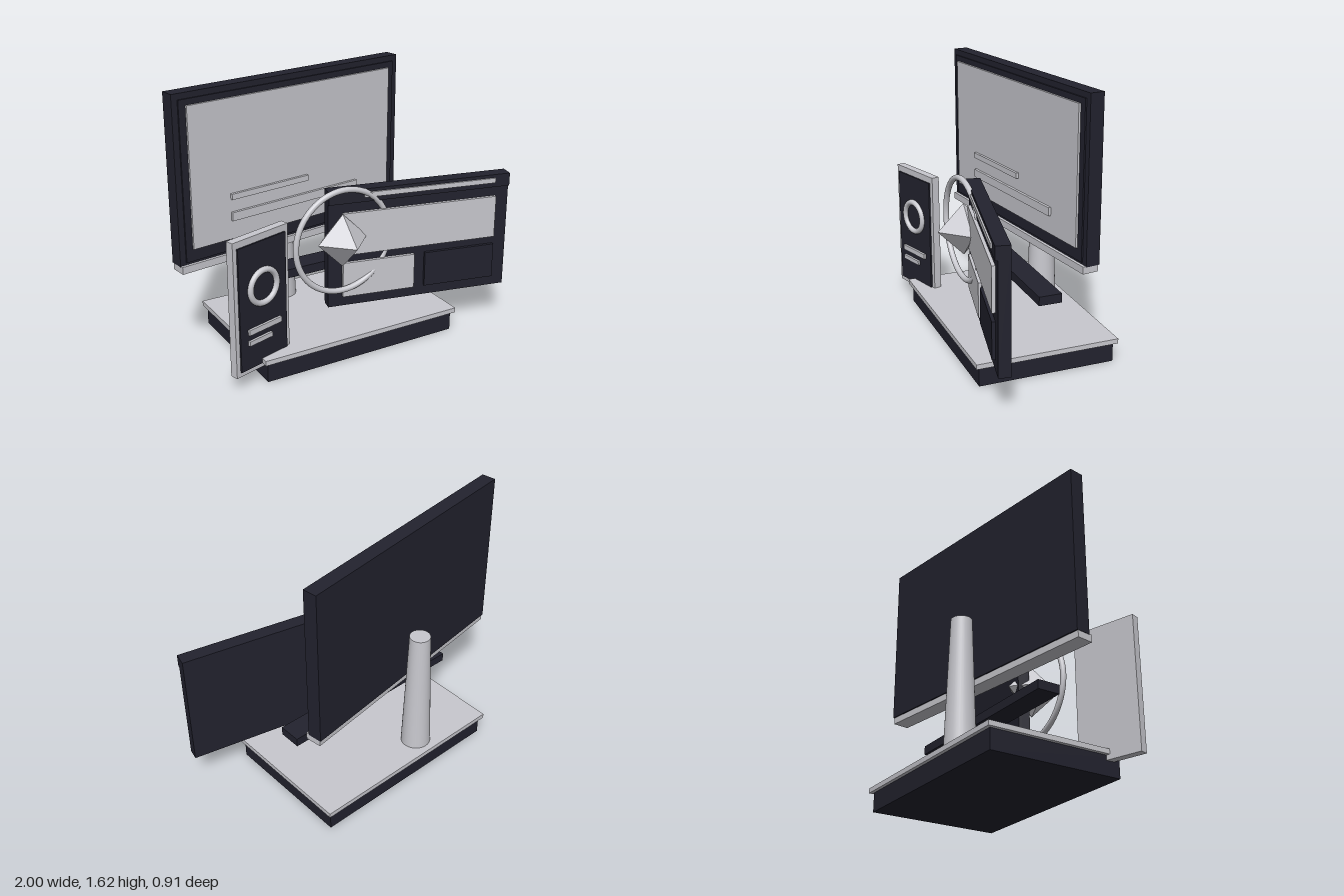
import * as THREE from 'three';

export function createModel() {
  const model = new THREE.Group();
  model.name = 'deskDisplay';

  const silver = new THREE.MeshStandardMaterial({ color: 0xc8c8ce });
  silver.name = 'silver';
  const dark = new THREE.MeshStandardMaterial({ color: 0x22222e });
  dark.name = 'dark navy';

  const add = (parent, name, geometry, material, x, y, z) => {
    const mesh = new THREE.Mesh(geometry, material);
    mesh.name = name;
    mesh.position.set(x, y, z);
    parent.add(mesh);
    return mesh;
  };
  // Box given by its centre
  const box = (parent, name, material, w, h, d, x, y, z) =>
    add(parent, name, new THREE.BoxGeometry(w, h, d), material, x, y, z);
  // Box given by its left, right, bottom, top, back and front limits
  const slab = (parent, name, material, x0, x1, y0, y1, z0, z1) =>
    box(parent, name, material, x1 - x0, y1 - y0, z1 - z0,
      (x0 + x1) / 2, (y0 + y1) / 2, (z0 + z1) / 2);
  // Group turned about the vertical axis
  const turned = (name, x, z, angle) => {
    const group = new THREE.Group();
    group.name = name;
    group.position.set(x, 0, z);
    group.rotation.y = angle;
    model.add(group);
    return group;
  };

  // Base, stand column and shelf
  box(model, 'basePlinth', dark, 1.275, 0.12, 0.84, -0.03, 0.06, -0.01);
  box(model, 'baseTop', silver, 1.32, 0.03, 0.885, -0.03, 0.135, -0.01);
  add(model, 'standColumn', new THREE.CylinderGeometry(0.063, 0.093, 0.82, 32), silver,
    -0.197, 0.555, -0.32);
  box(model, 'shelf', dark, 1.225, 0.055, 0.142, -0.03, 0.448, -0.035);

  // Large monitor
  const monitor = turned('monitor', -0.2, -0.177, 0.14);
  slab(monitor, 'monitorBody', dark, -0.802, 0.802, 0.62, 1.625, -0.045, 0.045);
  slab(monitor, 'monitorBezel', dark, -0.765, 0.765, 0.64, 1.59, 0.04, 0.054);
  slab(monitor, 'monitorScreen', silver, -0.722, 0.722, 0.715, 1.555, 0.045, 0.067);
  slab(monitor, 'monitorChin', silver, -0.8, 0.8, 0.58, 0.625, -0.037, 0.064);
  slab(monitor, 'screenLineShort', silver, -0.465, 0.08, 0.96, 0.995, 0.06, 0.084);
  slab(monitor, 'screenLineLong', silver, -0.465, 0.455, 0.83, 0.882, 0.06, 0.084);

  // Window panel at the front
  const panel = turned('windowPanel', 0.427, 0.282, -0.22);
  slab(panel, 'panelBody', dark, -0.578, 0.578, 0.245, 0.985, -0.035, 0.035);
  slab(panel, 'panelHeader', dark, -0.578, 0.578, 0.905, 0.985, 0.03, 0.05);
  slab(panel, 'headerLine', silver, -0.36, 0.48, 0.935, 0.965, 0.045, 0.06);
  slab(panel, 'wideCard', silver, -0.49, 0.492, 0.58, 0.845, 0.03, 0.055);
  slab(panel, 'lightCard', silver, -0.49, -0.034, 0.31, 0.53, 0.03, 0.055);
  slab(panel, 'darkCard', dark, 0.035, 0.492, 0.31, 0.53, 0.03, 0.055);

  // Upright handset
  const handset = turned('handset', -0.68, 0.35, 0.285);
  slab(handset, 'handsetBody', silver, -0.203, 0.203, 0.09, 0.905, -0.025, 0.025);
  slab(handset, 'handsetScreen', dark, -0.176, 0.176, 0.12, 0.865, 0.02, 0.035);
  add(handset, 'handsetRing', new THREE.TorusGeometry(0.098, 0.018, 16, 48), silver, 0, 0.595, 0.04);
  slab(handset, 'handsetLineLong', silver, -0.12, 0.122, 0.335, 0.368, 0.03, 0.05);
  slab(handset, 'handsetLineShort', silver, -0.12, 0.05, 0.27, 0.298, 0.03, 0.05);

  // Floating gem inside its halo
  add(model, 'gem', new THREE.OctahedronGeometry(0.165, 0), silver, -0.08, 0.69, 0.25);
  add(model, 'halo', new THREE.TorusGeometry(0.315, 0.018, 16, 80), silver, -0.08, 0.69, 0.256);

  return model;
}
